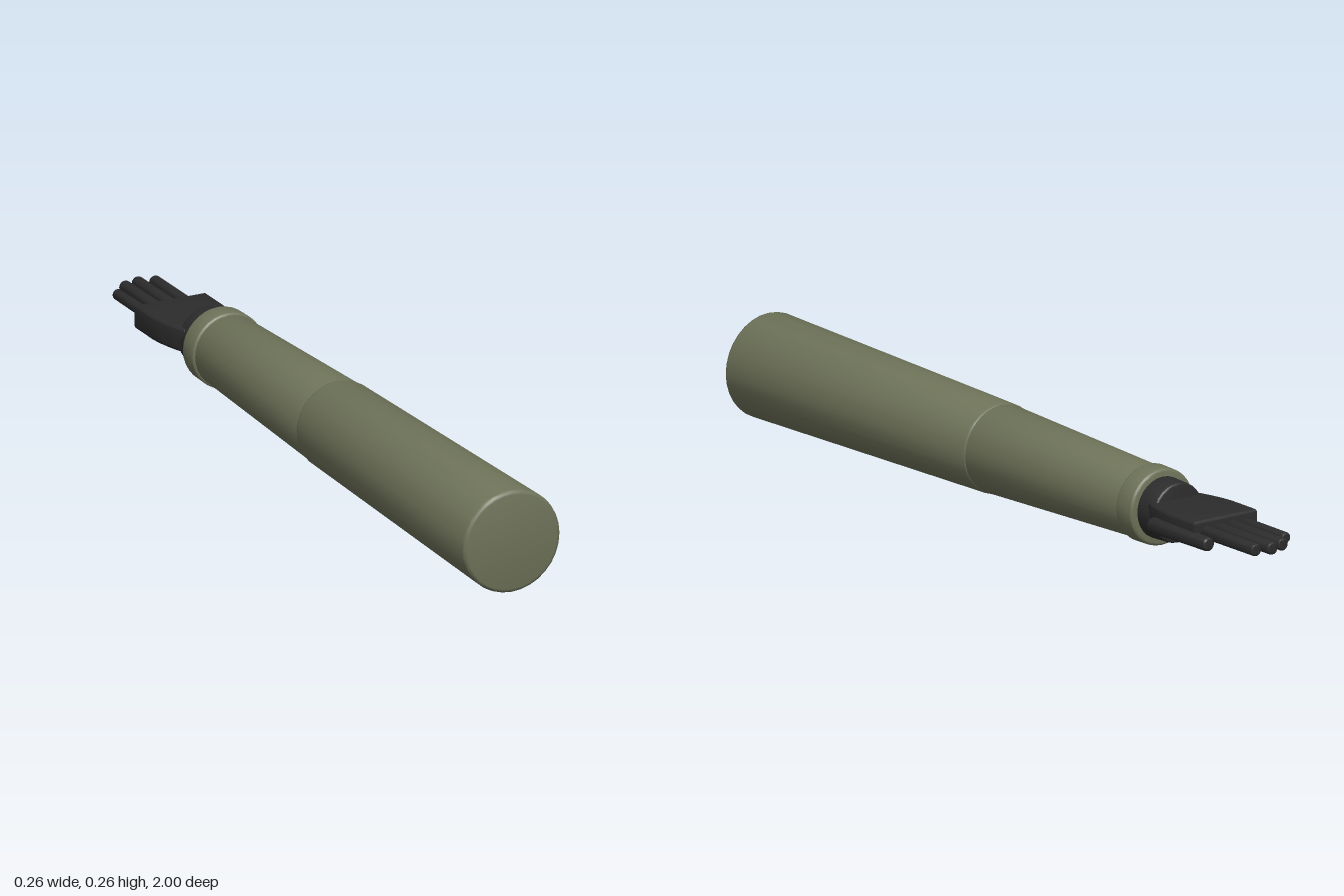
import * as THREE from 'three';
import { toCreasedNormals } from 'three/addons/utils/BufferGeometryUtils.js';

const AXIS_Y = 0.132;

export function createModel() {
  const model = new THREE.Group();
  model.name = 'sleevedArm';

  const cloth = new THREE.MeshStandardMaterial({ color: 0x6e7359 });
  cloth.name = 'oliveCloth';
  const glove = new THREE.MeshStandardMaterial({ color: 0x2c2c2d });
  glove.name = 'blackGlove';

  function add(name, geometry, material, x = 0, y = 0, z = 0) {
    const mesh = new THREE.Mesh(geometry, material);
    mesh.name = name;
    mesh.position.set(x, y, z);
    model.add(mesh);
    return mesh;
  }

  // Closed round section running from z0 (front) back to z1, with rounded rims
  function rod(z0, z1, r0, r1, bevel, sides) {
    const points = [new THREE.Vector2(0, -z0)];
    const steps = 3;
    for (let i = 0; i <= steps; i++) {
      const a = (i / steps) * Math.PI / 2;
      points.push(new THREE.Vector2(r0 - bevel + bevel * Math.sin(a), -z0 + bevel * (1 - Math.cos(a))));
    }
    for (let i = 0; i <= steps; i++) {
      const a = (i / steps) * Math.PI / 2;
      points.push(new THREE.Vector2(r1 - bevel + bevel * Math.cos(a), -z1 - bevel * (1 - Math.sin(a))));
    }
    points.push(new THREE.Vector2(0, -z1));
    const geometry = new THREE.LatheGeometry(points, sides);
    geometry.rotateX(-Math.PI / 2);
    return toCreasedNormals(geometry, 0.6);
  }

  // Sleeve: upper arm, forearm and cuff
  add('upperSleeve', rod(1, 0.08, 0.131, 0.113, 0.01, 32), cloth, 0, AXIS_Y);
  add('lowerSleeve', rod(0.1, -0.5, 0.111, 0.091, 0.004, 32), cloth, 0, AXIS_Y);
  add('cuff', rod(-0.485, -0.546, 0.097, 0.096, 0.007, 32), cloth, 0, AXIS_Y);

  // Glove wrist
  add('wrist', rod(-0.52, -0.608, 0.078, 0.075, 0.005, 28), glove, 0, AXIS_Y);

  // Palm: flat slab flaring from the wrist to the knuckles
  const bevel = 0.008;
  const outline = new THREE.Shape();
  outline.moveTo(-0.066, 0.59);
  outline.lineTo(0.066, 0.59);
  outline.quadraticCurveTo(0.086, 0.65, 0.087, 0.70);
  outline.lineTo(0.087, 0.782);
  outline.lineTo(-0.09, 0.782);
  outline.lineTo(-0.09, 0.70);
  outline.quadraticCurveTo(-0.087, 0.65, -0.066, 0.59);
  const palm = new THREE.ExtrudeGeometry(outline, {
    depth: 0.046, bevelEnabled: true, bevelSize: bevel, bevelThickness: bevel, bevelSegments: 3, curveSegments: 6,
  });
  palm.rotateX(-Math.PI / 2);
  add('palm', toCreasedNormals(palm, 0.6), glove, 0, 0.114);

  // Fingers: [x, tip z, radius]
  const fingers = [
    ['littleFinger', -0.063, -0.95, 0.0145],
    ['ringFinger', -0.023, -0.989, 0.0165],
    ['middleFinger', 0.017, -1, 0.017],
    ['indexFinger', 0.057, -0.987, 0.0165],
  ];
  for (const [name, x, tip, r] of fingers) {
    add(name, rod(-0.76, tip, r, r * 0.95, 0.005, 16), glove, x, 0.137);
  }

  // Thumb lies beside the palm, slightly low
  const thumb = add('thumb', rod(0.11, -0.11, 0.0195, 0.0175, 0.006, 16), glove, 0.094, 0.125, -0.737);
  thumb.rotation.y = 0.015;

  return model;
}
